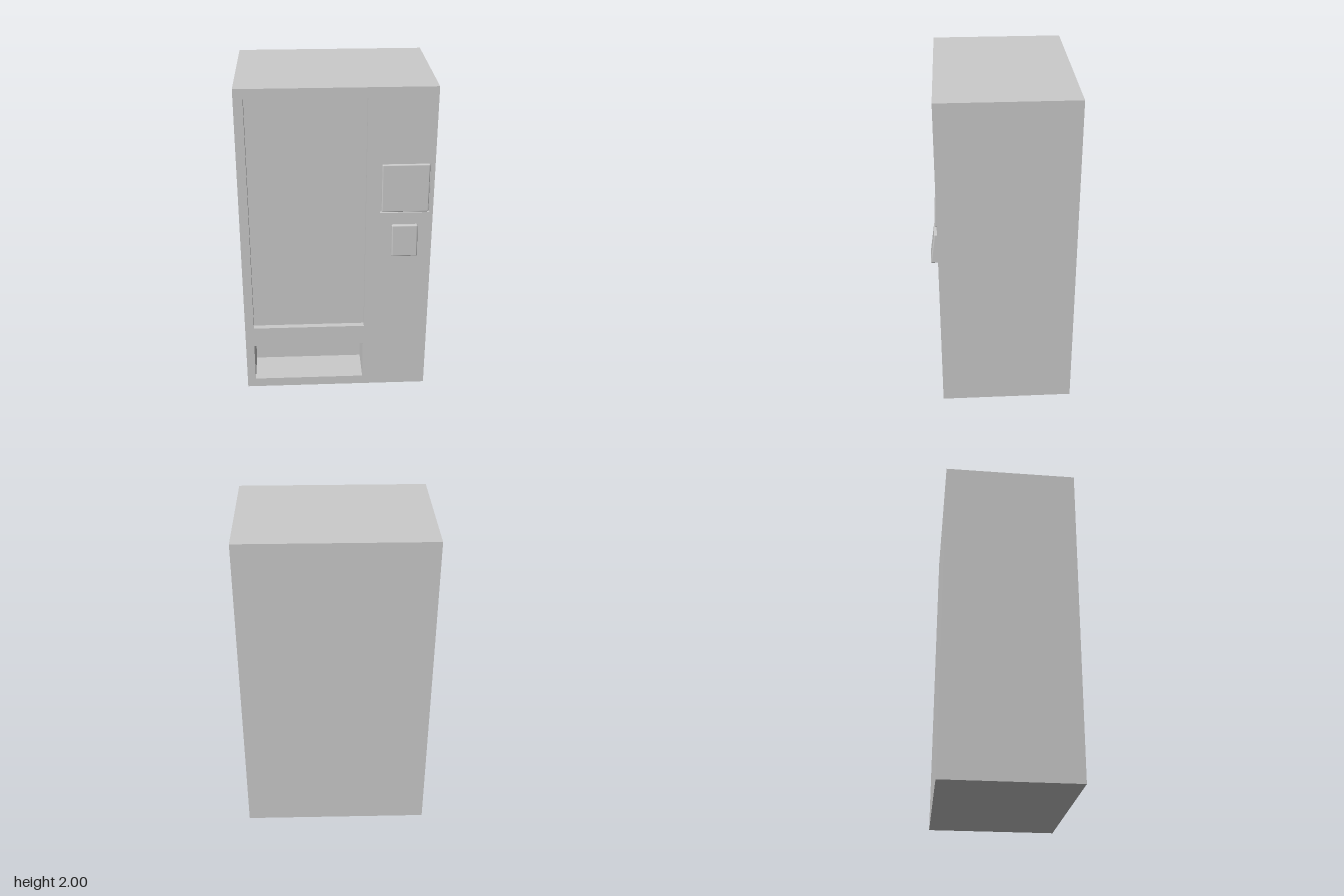
import * as THREE from 'three';
import { RoundedBoxGeometry } from 'three/addons/geometries/RoundedBoxGeometry.js';

const FRONT = 0.38, BACK = -0.425;
const W = 1.14, H = 2;

const grey = new THREE.MeshStandardMaterial({ color: 0xcccccc });
const greyInside = new THREE.MeshStandardMaterial({ color: 0xcccccc, side: THREE.DoubleSide });

// Openings in the front face: x range, y range, depth
const openings = [
  { name: 'displayWindow', x: [-0.515, 0.175], y: [0.445, 1.94], depth: 0.035 },
  { name: 'deliveryTray', x: [-0.518, 0.17], y: [0.06, 0.315], depth: 0.23 },
  { name: 'screenRecess', x: [0.257, 0.55], y: [1.232, 1.545], depth: 0.02 },
];

// Box without its +z face, spanning the given ranges
function openBox([x0, x1], [y0, y1], z0, z1) {
  const g = new THREE.BoxGeometry(x1 - x0, y1 - y0, z1 - z0);
  const index = Array.from(g.index.array);
  index.splice(24, 6);
  g.setIndex(index);
  g.clearGroups();
  g.translate((x0 + x1) / 2, (y0 + y1) / 2, (z0 + z1) / 2);
  return g;
}

function rectangle(PathType, [x0, x1], [y0, y1]) {
  return new PathType([[x0, y0], [x1, y0], [x1, y1], [x0, y1]].map(p => new THREE.Vector2(...p)));
}

// Rounded slab whose front face leans from zBottom back to zTop
function leaningPanel([x0, x1], [y0, y1], zBack, zBottom, zTop, radius) {
  const h = y1 - y0, d = zBottom - zBack;
  const g = new RoundedBoxGeometry(x1 - x0, h, d, 3, radius);
  const p = g.attributes.position;
  for (let i = 0; i < p.count; i++) {
    if (p.getZ(i) > 0) p.setZ(i, p.getZ(i) - (zBottom - zTop) * (p.getY(i) / h + 0.5));
  }
  g.translate((x0 + x1) / 2, (y0 + y1) / 2, zBack + d / 2);
  return g;
}

export function createModel() {
  const model = new THREE.Group();
  const add = (name, geometry, material = grey) => {
    const mesh = new THREE.Mesh(geometry, material);
    mesh.name = name;
    model.add(mesh);
  };

  // Cabinet shell and pierced front
  const xs = [-W / 2, W / 2], ys = [0, H];
  add('cabinet', openBox(xs, ys, BACK, FRONT));
  const face = rectangle(THREE.Shape, xs, ys);
  for (const o of openings) face.holes.push(rectangle(THREE.Path, o.x, o.y));
  add('frontFace', new THREE.ShapeGeometry(face).translate(0, 0, FRONT));

  // Recesses behind the openings
  for (const o of openings) add(o.name, openBox(o.x, o.y, FRONT - o.depth, FRONT), greyInside);

  // Control screen and keypad, both leaning back
  add('screen', leaningPanel([0.265, 0.542], [1.242, 1.536], 0.36, 0.394, 0.379, 0.007));
  add('keypad', leaningPanel([0.328, 0.482], [0.963, 1.157], 0.355, 0.426, 0.399, 0.008));

  return model;
}
